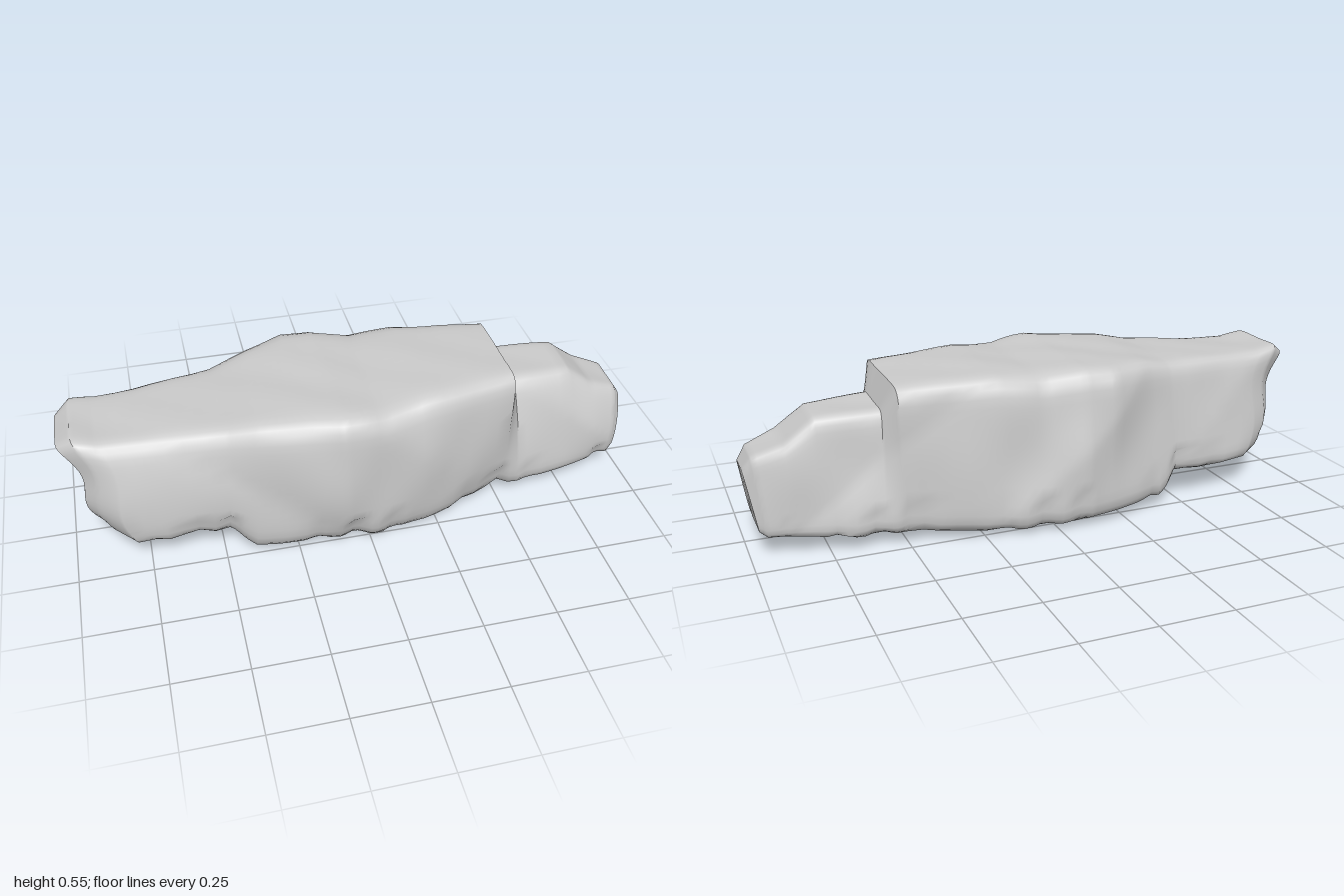
import * as THREE from 'three';
import { toCreasedNormals } from 'three/addons/utils/BufferGeometryUtils.js';

// Cross-sections along the length:
// [xTop, xBottom, yBottom, yTop, front z top, front z bottom, back z top, back z bottom]
const SECTIONS = [
  [-1.00, -0.865, 0.13, 0.47, 0.13, 0.13, -0.09, -0.11],
  [-0.95, -0.84, 0.11, 0.50, 0.155, 0.17, -0.12, -0.16],
  [-0.87, -0.78, 0.10, 0.485, 0.165, 0.24, -0.13, -0.21],
  [-0.47, -0.48, 0.10, 0.505, 0.22, 0.25, -0.195, -0.25],
  [-0.36, -0.40, 0.03, 0.525, 0.25, 0.265, -0.23, -0.28],
  [-0.20, -0.20, 0.02, 0.54, 0.29, 0.29, -0.305, -0.325],
  [-0.10, -0.09, 0.012, 0.543, 0.315, 0.30, -0.30, -0.352],
  [0.04, 0.04, 0.004, 0.525, 0.285, 0.285, -0.265, -0.335],
  [0.20, 0.20, 0.012, 0.545, 0.26, 0.26, -0.26, -0.30],
  [0.52, 0.50, 0.035, 0.532, 0.18, 0.16, -0.215, -0.24],
  [0.56, 0.58, 0.035, 0.452, 0.07, 0.165, -0.165, -0.235],
  [0.77, 0.76, 0.05, 0.445, 0.055, 0.145, -0.15, -0.21],
  [0.87, 0.87, 0.055, 0.37, 0.06, 0.12, -0.15, -0.19],
  [0.97, 0.94, 0.06, 0.335, 0.05, 0.10, -0.13, -0.165],
  [1.00, 0.965, 0.08, 0.29, 0.03, 0.08, -0.11, -0.145],
];
const AROUND = 64;
const STEPS = 6;

const { lerp: mix, clamp } = THREE.MathUtils;

// Point on a square outline with rounded corners, starting at the front, turning upwards
function outline(j) {
  const f = (j / AROUND) * 4 + 0.5;
  const e = (f % 1) * 2 - 1;
  const [s, t] = [[1, e], [-e, 1], [-1, -e], [e, -1]][Math.floor(f) % 4];
  const k = Math.pow(Math.abs(s) ** 10 + Math.abs(t) ** 10, -1 / 10);
  return [s * k, t * k];
}

// Ridges and bumps that roughen the stone
const bump = (x, y, z) =>
  0.012 * (Math.abs(Math.sin(5 * x + 6 * y - 3 * z + 1)) - 0.6) * Math.sin(4 * y + 7 * z + 3 * x) +
  0.004 * Math.sin(19 * x - 13 * z + 2) * Math.sin(15 * z + 13 * y);

function sectionPoint([xTop, xBottom, yBottom, yTop, frontTop, frontBottom, backTop, backBottom], j) {
  const [s, t] = outline(j);
  const up = (t + 1) / 2;
  const belly = 0.024 * (1 - t * t); // the front swells towards mid height
  const front = mix(frontBottom, frontTop, up) + belly;
  const back = mix(backBottom, backTop, up);
  const y = mix(yBottom, yTop, up);
  const z = mix(back, front, (s + 1) / 2);
  // The thin end hangs over at the top and is undercut below it
  const straight = mix(xBottom, xTop, up);
  const x = straight + 0.028 * Math.sin(Math.PI * t) * clamp(-4 * straight - 2.6, 0, 1);
  const b = bump(x, y, z);
  // Irregular notches along the lower edges
  const notch = Math.max(0, Math.sin(17 * x + 6 * s) * Math.sin(29 * x));
  const chip = t < -0.6 && Math.abs(s) > 0.6 ? 0.012 * notch : 0;
  return [x, Math.max(0, y + t * b * 0.6 + chip), z + s * (b - chip)];
}

function rockGeometry() {
  // Subdivide the lengthwise sections
  const rows = [];
  SECTIONS.slice(1).forEach((next, i) => {
    for (let k = 0; k < STEPS; k++) rows.push(SECTIONS[i].map((v, n) => mix(v, next[n], k / STEPS)));
  });
  rows.push(SECTIONS.at(-1));
  const last = rows.length - 1;

  // Skin around the length
  const pos = [];
  const index = [];
  rows.forEach((row, i) => {
    for (let j = 0; j < AROUND; j++) {
      pos.push(...sectionPoint(row, j));
      if (i === last) continue;
      const a = i * AROUND + j;
      const b = i * AROUND + ((j + 1) % AROUND);
      index.push(a, a + AROUND, b + AROUND, a, b + AROUND, b);
    }
  });

  // Broken end faces
  for (const end of [0, last]) {
    const [xTop, xBottom, yBottom, yTop, frontTop, frontBottom, backTop, backBottom] = rows[end];
    const middle = pos.length / 3;
    pos.push((xTop + xBottom) / 2, (yBottom + yTop) / 2, (frontTop + frontBottom + backTop + backBottom) / 4);
    for (let j = 0; j < AROUND; j++) {
      const a = end * AROUND + j;
      const b = end * AROUND + ((j + 1) % AROUND);
      index.push(middle, ...(end === 0 ? [a, b] : [b, a]));
    }
  }

  const geometry = new THREE.BufferGeometry();
  geometry.setAttribute('position', new THREE.Float32BufferAttribute(pos, 3));
  geometry.setIndex(index);
  return toCreasedNormals(geometry, 0.75);
}

export function createModel() {
  const group = new THREE.Group();
  group.name = 'rock';
  const stone = new THREE.Mesh(rockGeometry(), new THREE.MeshStandardMaterial({ color: 0xcccccc }));
  stone.name = 'stoneSlab';
  group.add(stone);
  return group;
}
